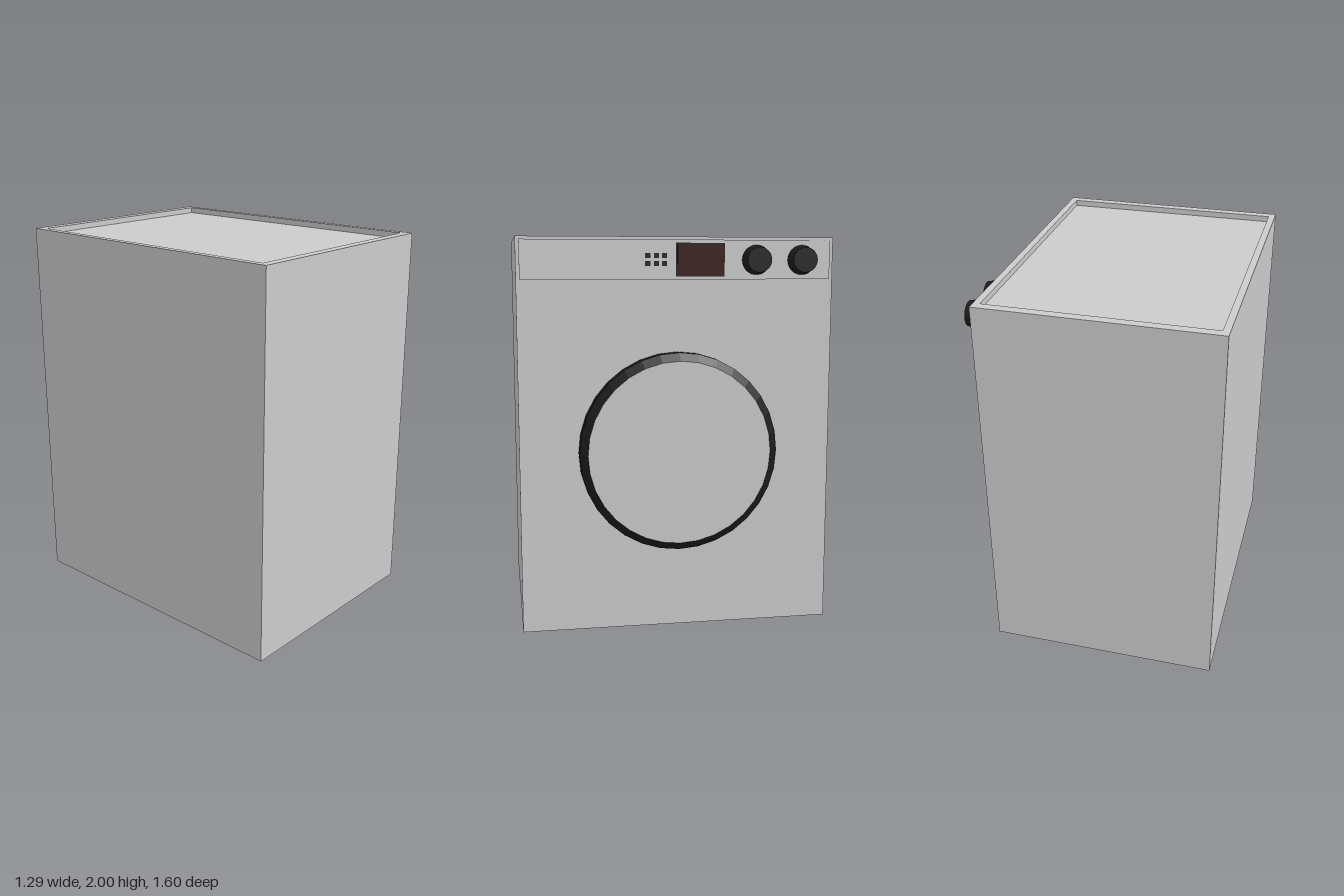
import * as THREE from 'three';

const grey = new THREE.MeshStandardMaterial({ color: 0xcccccc });
const black = new THREE.MeshStandardMaterial({ color: 0x1c1c1c });
black.flatShading = true;
const darkRed = new THREE.MeshStandardMaterial({ color: 0x360e0e });

const FRONT = 0.555; // x of the face that carries the door and controls
const BACK = -0.645;
const PANEL = FRONT + 0.007; // x of the control panel surface

export function createModel() {
  const model = new THREE.Group();

  function add(name, geometry, material, x, y, z) {
    const mesh = new THREE.Mesh(geometry, material);
    mesh.name = name;
    mesh.position.set(x, y, z);
    model.add(mesh);
    return mesh;
  }

  // Box sitting on a given x plane and standing out by depth
  function plate(name, material, x, y, z, depth, height, width) {
    return add(name, new THREE.BoxGeometry(depth, height, width), material, x + depth / 2, y, z);
  }

  // Turned part whose axis points out of the front face
  function turned(name, profile, material, x, y, z) {
    const points = profile.map(([r, h]) => new THREE.Vector2(r, h));
    const mesh = add(name, new THREE.LatheGeometry(points, 32), material, x, y, z);
    mesh.rotation.z = -Math.PI / 2;
    return mesh;
  }

  // Cabinet with a raised rim around the sunken top
  const rimHeight = 0.03;
  plate('cabinet', grey, BACK, (2 - rimHeight) / 2, 0, FRONT - BACK, 2 - rimHeight, 1.6);
  const rect = (Type, x0, x1, z) => new Type([
    new THREE.Vector2(x0, -z), new THREE.Vector2(x1, -z),
    new THREE.Vector2(x1, z), new THREE.Vector2(x0, z),
  ]);
  const rim = rect(THREE.Shape, BACK, FRONT, 0.8);
  rim.holes.push(rect(THREE.Path, BACK + 0.035, FRONT - 0.035, 0.752));
  const rimGeometry = new THREE.ExtrudeGeometry(rim, { depth: rimHeight, bevelEnabled: false });
  rimGeometry.rotateX(-Math.PI / 2);
  add('topRim', rimGeometry, grey, 0, 2 - rimHeight, 0);

  // Door: chamfered dark ring around a flat window
  turned('doorRing', [[0.505, 0], [0.505, 0.057], [0.465, 0.087]], black, FRONT, 0.925, 0);
  const doorWindow = add('doorWindow', new THREE.CircleGeometry(0.465, 32), grey, FRONT + 0.087, 0.925, 0);
  doorWindow.rotation.y = Math.PI / 2;

  // Control panel
  plate('controlPanel', grey, FRONT, 1.888, 0, 0.007, 0.195, 1.565);

  // Display and its frame
  plate('displayFrame', black, PANEL, 1.887, -0.112, 0.003, 0.166, 0.248);
  plate('displayScreen', darkRed, PANEL, 1.887, -0.112, 0.005, 0.15, 0.23);

  // Two rows of small buttons
  for (const y of [1.907, 1.868])
    for (const z of [0.151, 0.11, 0.069])
      plate('button', black, PANEL, y, z, 0.004, 0.024, 0.024);

  // Tapered knobs
  for (const z of [-0.4, -0.636])
    turned('knob', [[0.074, 0], [0.062, 0.068], [0, 0.068]], black, PANEL, 1.887, z);

  return model;
}
